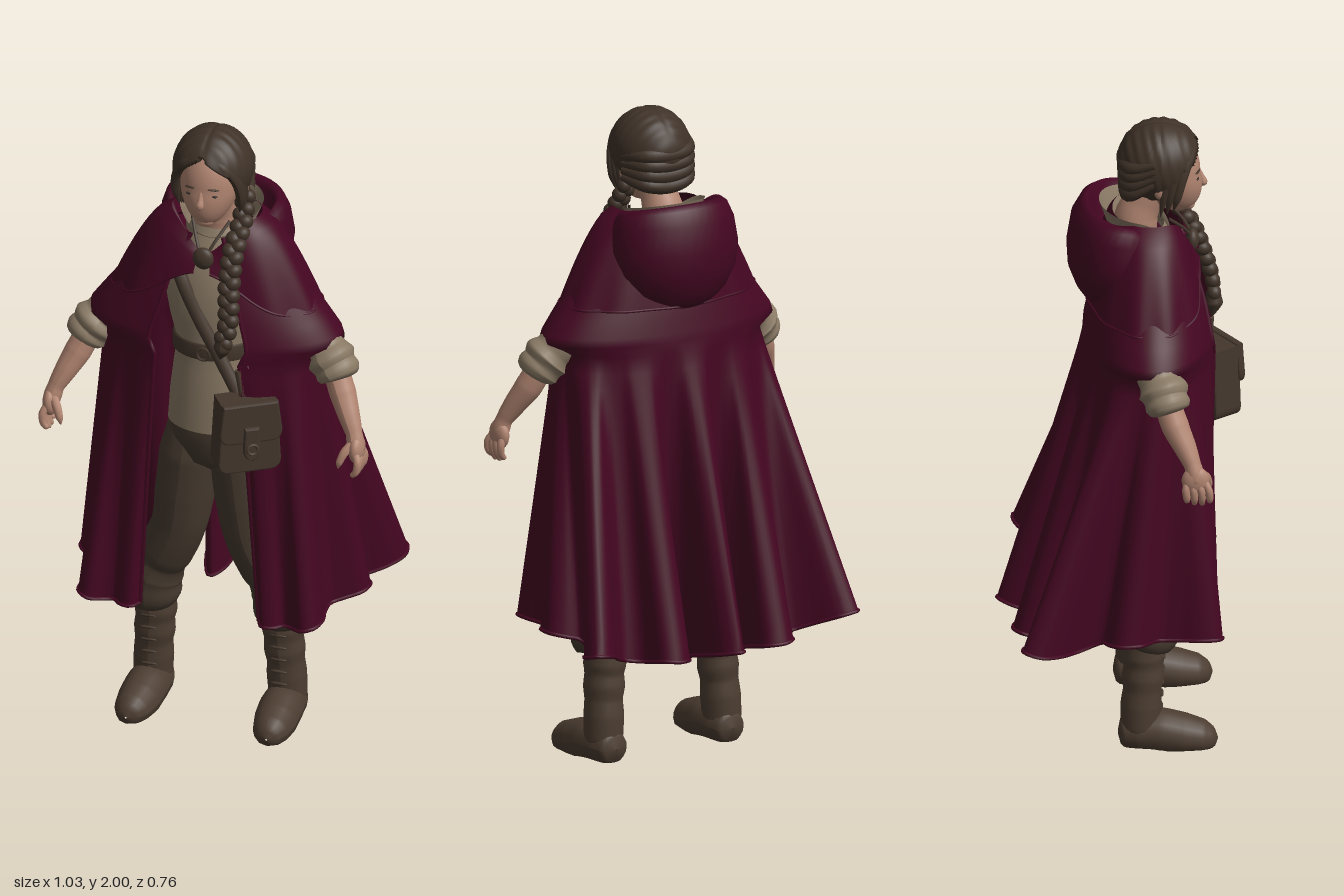
import * as THREE from 'three';

const V = (x, y, z) => new THREE.Vector3(x, y, z);
const { lerp, clamp, smoothstep } = THREE.MathUtils;
const mat = (name, color, side = THREE.FrontSide) => new THREE.MeshStandardMaterial({ name, color, side });

export function createModel() {
  const M = {
    cloak: mat('wine cloth', 0x440621, THREE.DoubleSide),
    skin: mat('skin', 0xb08470),
    hair: mat('dark brown hair', 0x3f3228),
    shirt: mat('linen', 0x8a7a65, THREE.DoubleSide),
    trousers: mat('trouser cloth', 0x463a2f),
    boots: mat('boot leather', 0x4c3d31),
    leather: mat('bag leather', 0x43362c),
    lips: mat('lips', 0x93655a),
    dark: mat('dark eyes', 0x3a302b),
  };
  const model = new THREE.Group();
  const add = (name, geo, m, parent = model) => {
    const mesh = new THREE.Mesh(geo, m);
    mesh.name = name;
    parent.add(mesh);
    return mesh;
  };
  // Surface through rows of points, listed bottom to top
  const loft = (rows, closed) => {
    const n = rows[0].length, index = [];
    for (let i = 0; i < rows.length - 1; i++)
      for (let j = 0; j < (closed ? n : n - 1); j++) {
        const k = (j + 1) % n, a = i * n + j, b = i * n + k;
        index.push(a, b, b + n, a, b + n, a + n);
      }
    const g = new THREE.BufferGeometry().setFromPoints(rows.flat());
    g.setIndex(index);
    g.computeVertexNormals();
    return g;
  };
  // Stacked ellipses [y, rx, rz, cz, tilt, dip]; dip lowers the front
  const rings = (list, n = 40) => loft(list.map(([y, rx, rz, cz, tilt = 0, dip = 0]) =>
    Array.from({ length: n }, (_, j) => {
      const a = j / n * Math.PI * 2, z = rz * Math.cos(a);
      return V(rx * Math.sin(a), y + tilt * z - dip * Math.max(0, Math.cos(a)) ** 2, cz + z);
    })), true);
  // Round limb through [x, y, z, radius]; s mirrors it, floor flattens the underside
  const limb = (pts, s = 1, sides = 14, floor = -Infinity) => {
    const curve = new THREE.CatmullRomCurve3(pts.map(p => V(p[0] * s, p[1], p[2])));
    const seg = pts.length * 5, g = new THREE.TubeGeometry(curve, seg, 1, sides), pos = g.attributes.position, v = V();
    for (let i = 0; i <= seg; i++) {
      const c = curve.getPointAt(i / seg), t = curve.getUtoTmapping(i / seg) * (pts.length - 1);
      const k = Math.min(Math.floor(t), pts.length - 2), r = lerp(pts[k][3], pts[k + 1][3], t - k);
      for (let j = 0; j <= sides; j++) {
        const q = i * (sides + 1) + j;
        v.fromBufferAttribute(pos, q).sub(c).multiplyScalar(r).add(c);
        pos.setXYZ(q, v.x, Math.max(v.y, floor), v.z);
      }
    }
    g.computeVertexNormals();
    return g;
  };
  const ball = (name, x, y, z, rx, ry, rz, m) => {
    const b = add(name, new THREE.SphereGeometry(1, 20, 14), m);
    b.position.set(x, y, z);
    b.scale.set(rx, ry, rz);
    return b;
  };

  // Cloak: shoulder ellipses flowing into a deeply folded hem
  const half = [[.19, .25], [.21, .285], [.245, .28], [.27, .255], [.3, .265], [.34, .295], [.375, .28], [.385, .23],
    [.37, .16], [.37, .1], [.41, .07], [.45, .04], [.455, -.02], [.42, -.055], [.38, -.07], [.39, -.14], [.45, -.2],
    [.485, -.26], [.47, -.31], [.42, -.305], [.35, -.23], [.3, -.195], [.25, -.22], [.235, -.31], [.19, -.335],
    [.14, -.31], [.13, -.2], [.09, -.11], [.055, -.16], [.04, -.33], [0, -.376]];
  const hemCurve = new THREE.CatmullRomCurve3([...half, ...half.slice(0, -1).reverse().map(([x, z]) => [-x, z])].map(([x, z]) => {
    const ax = Math.abs(x);
    const back = .33 + .24 * Math.max(-z - .08, 0) + .06 * clamp((ax - .2) / .25, 0, 1);
    const front = .41 + .04 * clamp((ax - .3) / .15, 0, 1);
    return V(x, lerp(back, front, smoothstep(z, -.2, -.06) * smoothstep(ax, .1, .17)), z);
  }));
  const N = 240, a0 = .4;
  const hem = hemCurve.getPoints(N);
  const ringRow = ([y, rx, rz]) => hem.map((_, j) => {
    const a = a0 + j / N * (2 * Math.PI - 2 * a0);
    return V(rx * Math.sin(a), y, .086 + rz * Math.cos(a));
  });
  const upper = [[1.29, .35, .204], [1.325, .402, .201], [1.35, .395, .196], [1.4, .358, .186], [1.46, .312, .172],
    [1.56, .245, .14], [1.66, .13, .1]].map(ringRow);
  const cloakRows = [];
  for (let i = 0; i < 18; i++) cloakRows.push(hem.map((p, j) => p.clone().lerp(upper[0][j], i / 18)));
  cloakRows.push(...upper);
  add('cloak', loft(cloakRows, false), M.cloak);
  add('cloakHem', new THREE.TubeGeometry(hemCurve, 240, .006, 6), M.cloak);
  for (const j of [0, N])
    add('cloakFrontEdge', new THREE.TubeGeometry(new THREE.CatmullRomCurve3(cloakRows.map(r => r[j])), 50, .007, 6), M.cloak);

  // Shoulder cape
  const capeRows = [];
  for (let i = 0; i <= 12; i++) {
    const v = 1 - i / 12;
    capeRows.push(Array.from({ length: 97 }, (_, j) => {
      const a = .08 + j / 96 * (2 * Math.PI - .16), near = Math.min(a, 2 * Math.PI - a);
      const f = Math.exp(-((near / .55) ** 2)), w = Math.pow(v, .62), fold = 1 + .015 * v * Math.sin(11 * near);
      const y = lerp(1.71 - .1 * f, 1.43 + .13 * f, v);
      return V(lerp(.14, .328, w) * fold * Math.sin(a), y, .083 + lerp(.11, .188 * (1 - .22 * f), w) * fold * Math.cos(a));
    }));
  }
  add('shoulderCape', loft(capeRows, false), M.cloak);
  add('shoulderCapeHem', new THREE.TubeGeometry(new THREE.CatmullRomCurve3(capeRows[0]), 120, .004, 6), M.cloak);

  // Lowered hood with a rolled rim and an open inside
  add('hood', rings([[1.415, .08, .05, -.04], [1.43, .12, .09, -.025], [1.47, .168, .122, -.018], [1.53, .2, .148, -.014],
    [1.6, .211, .156, -.01, 0, .02], [1.67, .2, .147, -.005, -.12, .06], [1.71, .185, .13, .003, -.18, .09],
    [1.724, .168, .115, .01, -.2, .1], [1.705, .155, .104, .015, -.2, .1], [1.64, .14, .095, .02, -.1, .05], [1.6, .1, .08, .03]]), M.cloak);
  ball('cloakClasp', 0, 1.6, .215, .033, .036, .02, M.leather);
  for (const s of [-1, 1])
    add('claspCord', limb([[.005, 1.6, .22, .005], [.03, 1.65, .19, .005], [.06, 1.7, .14, .005]], s, 6), M.leather);

  // Shirt, belt and wide collar
  add('shirt', rings([[1.0, .145, .11, .105], [1.1, .138, .108, .105], [1.2, .126, .102, .105], [1.27, .115, .095, .105],
    [1.36, .14, .108, .1], [1.46, .16, .115, .095], [1.55, .14, .1, .085], [1.62, .1, .09, .06], [1.66, .08, .08, .05]]), M.shirt);
  add('shirtCollar', rings([[1.6, .1, .085, .06], [1.67, .11, .095, .045, -.2, .02], [1.72, .13, .108, .04, -.2, .06]]), M.shirt);
  add('belt', rings([[1.245, .122, .1, .105], [1.25, .13, .108, .105], [1.295, .13, .108, .105], [1.3, .122, .1, .105]]), M.leather);
  add('bagStrap', limb([[-.13, 1.6, .13, .021], [-.08, 1.52, .196, .021], [-.02, 1.4, .21, .021], [.05, 1.28, .218, .021],
    [.12, 1.17, .24, .021]], 1, 8), M.leather);
  add('beltBuckle', new THREE.TorusGeometry(.02, .005, 6, 12), M.leather).position.set(0, 1.272, .216);

  // Legs, boots, arms and hands
  add('trouserSeat', rings([[.84, .02, .04, .1], [.88, .11, .09, .1], [.95, .142, .108, .1], [1.0, .14, .106, .105], [1.03, .13, .1, .105]]), M.trousers);
  for (const s of [-1, 1]) {
    const side = s > 0 ? 'left' : 'right';
    add(side + 'TrouserLeg', limb([[.07, 1.0, .1, .07], [.08, .88, .1, .094], [.096, .74, .1, .092], [.116, .62, .1, .084],
      [.16, .52, .09, .084], [.175, .49, .085, .078], [.198, .44, .08, .09], [.205, .41, .08, .087], [.207, .37, .078, .09],
      [.207, .34, .072, .075], [.207, .33, .07, .03]], s, 20), M.trousers);
    add(side + 'BootShaft', limb([[.203, .37, .06, .06], [.203, .3, .06, .066], [.205, .27, .06, .06], [.207, .23, .058, .064],
      [.21, .19, .056, .058], [.212, .14, .052, .062], [.215, .07, .05, .06], [.215, .03, .05, .05]], s, 18), M.boots);
    add(side + 'BootFoot', limb([[.212, .045, -.018, .005], [.212, .045, -.008, .045], [.213, .05, .04, .062], [.215, .05, .11, .068],
      [.218, .036, .18, .066], [.222, .028, .24, .054], [.224, .026, .274, .03], [.224, .026, .284, .003]], s, 18, .002), M.boots);
    for (let i = 0; i < 5; i++)
      ball('bootLace', s * .207, .13 + i * .042, .113 + i * .002, .026, .005, .006, M.leather);

    // Rolled sleeve
    add(side + 'Sleeve', limb([[.27, 1.38, .085, .045], [.315, 1.335, .095, .056], [.337, 1.31, .1, .068],
      [.358, 1.29, .107, .064], [.374, 1.272, .115, .078], [.388, 1.253, .121, .066], [.4, 1.238, .127, .07],
      [.41, 1.222, .132, .06], [.413, 1.216, .134, .03]], s, 18), M.shirt);
    add(side + 'Forearm', limb([[.385, 1.26, .12, .04], [.422, 1.18, .148, .042], [.453, 1.12, .178, .034],
      [.475, 1.075, .198, .026], [.482, 1.05, .205, .028], [.487, 1.025, .208, .026], [.487, 1.0, .21, .004]], s), M.skin);
    ball(side + 'Palm', s * .488, 1.028, .207, .024, .046, .042, M.skin);
    for (let i = 0; i < 4; i++) {
      const z = .178 + i * .023, tip = .945 + Math.abs(i - 1.6) * .008;
      add(side + 'Finger', limb([[.489, 1.03, .184 + i * .016, .011], [.502, 1.0, z, .012], [.498, .97, z + .003, .011],
        [.486, tip, z + .003, .008], [.483, tip - .004, z + .003, .001]], s, 8), M.skin);
    }
    add(side + 'Thumb', limb([[.478, 1.05, .218, .015], [.458, 1.025, .24, .014], [.446, .995, .25, .011], [.442, .975, .251, .002]], s, 8), M.skin);
  }

  // Head with tapered jaw
  const headGeo = new THREE.SphereGeometry(1, 40, 30), hp = headGeo.attributes.position;
  for (let i = 0; i < hp.count; i++) {
    const y = hp.getY(i), low = clamp(-y, 0, 1);
    hp.setXYZ(i, hp.getX(i) * .094 * (1 - .2 * low), 1.835 + y * .133, .137 + hp.getZ(i) * .102 + low * .034);
  }
  headGeo.computeVertexNormals();
  add('head', headGeo, M.skin);
  add('neck', limb([[0, 1.58, .045, .066], [0, 1.68, .045, .066], [0, 1.73, .065, .058], [0, 1.79, .1, .055]], 1, 18), M.skin);
  add('nose', limb([[0, 1.84, .231, .006], [0, 1.81, .242, .01], [0, 1.792, .248, .013], [0, 1.782, .238, .004]], 1, 10), M.skin);
  ball('chin', 0, 1.726, .204, .03, .02, .02, M.skin);
  ball('mouth', 0, 1.757, .23, .019, .005, .006, M.lips);
  for (const s of [-1, 1]) {
    ball('eye', s * .037, 1.824, .229, .014, .004, .005, M.dark);
    const brow = ball('eyebrow', s * .038, 1.846, .23, .018, .003, .005, M.hair);
    brow.rotation.set(0, s * .35, -s * .1);
    ball('ear', s * .096, 1.81, .115, .014, .028, .02, M.skin);
  }

  // Hair: parted cap cut away around the face
  const hairGeo = new THREE.SphereGeometry(1, 72, 56), p = hairGeo.attributes.position;
  for (let i = 0; i < p.count; i++) {
    let x = p.getX(i), y = p.getY(i), z = p.getZ(i);
    const wave = 1 + .012 * Math.sin(z * 26 + y * 6) * Math.min(1, Math.abs(x) * 3);
    const part = y > 0 ? 1 - .03 * Math.exp(-((x / .06) ** 2)) : 1;
    x *= .122 * wave; y = 1.872 + y * .128 * wave * part; z = .118 + z * .13 * wave;
    if (z > .12 && Math.abs(x) < .1 && y < 1.94 - Math.abs(x) * .7) z = Math.min(z, .14);
    p.setXYZ(i, x, y, z);
  }
  hairGeo.computeVertexNormals();
  add('hair', hairGeo, M.hair);
  for (const s of [-1, 1])
    for (let k = 0; k < 3; k++)
      add('frontLock', limb([[.004 + k * .01, 1.945 + k * .006, .212 - k * .006, .006], [.06 + k * .006, 1.915, .206 - k * .012, .016],
        [.096, 1.855, .182 - k * .02, .016], [.103 - k * .002, 1.79, .165 - k * .02, .014], [.096, 1.745 - k * .01, .155 - k * .02, .002]], s, 8), M.hair);
  for (let k = 0; k < 4; k++)
    add('backBraidRoll', limb([[-.115, 1.84 + k * .022, .1, .01], [-.075, 1.79 + k * .03, .025, .022], [0, 1.775 + k * .033, .014 - k * .002, .023],
      [.075, 1.785 + k * .03, .025, .022], [.112, 1.8 + k * .022, .1, .012]], 1, 10), M.hair);

  // Long braid over the left shoulder
  const braid = new THREE.CatmullRomCurve3([V(.095, 1.79, .09), V(.1, 1.71, .14), V(.092, 1.62, .21), V(.094, 1.52, .25), V(.1, 1.42, .278), V(.085, 1.36, .285)]);
  for (let i = 0; i < 26; i++) {
    const c = braid.getPointAt(i / 25), s = i % 2 ? 1 : -1, r = .021 + .006 * Math.sin(i / 25 * Math.PI);
    ball('braidStrand', c.x + s * .01, c.y, c.z, r, .024, r, M.hair).rotation.z = s * .6;
  }
  add('braidTail', limb([[.088, 1.38, .28, .02], [.084, 1.34, .283, .028], [.075, 1.3, .278, .002]], 1, 10), M.hair);

  // Shoulder bag with flap, buckle and carried sticks
  const bag = new THREE.Group();
  bag.name = 'shoulderBag';
  bag.position.set(.155, 1.065, .272);
  bag.rotation.y = .6;
  model.add(bag);
  const panel = (w, h, d) => {
    const sh = new THREE.Shape(), b = .03;
    sh.moveTo(-w * .44, h / 2).lineTo(w * .44, h / 2).lineTo(w / 2, -h / 2 + b);
    sh.quadraticCurveTo(w / 2, -h / 2, w / 2 - b, -h / 2).lineTo(-w / 2 + b, -h / 2);
    sh.quadraticCurveTo(-w / 2, -h / 2, -w / 2, -h / 2 + b);
    return new THREE.ExtrudeGeometry(sh, { depth: d, bevelSize: .006, bevelThickness: .006, bevelSegments: 2 }).translate(0, 0, -d / 2);
  };
  add('bagBody', panel(.185, .22, .085), M.leather, bag);
  add('bagFlap', panel(.185, .12, .012), M.leather, bag).position.set(0, .055, .052);
  add('bagTab', panel(.04, .1, .012), M.leather, bag).position.set(0, -.01, .066);
  add('bagBuckle', new THREE.TorusGeometry(.016, .005, 6, 12), M.boots, bag).position.set(0, -.025, .078);
  for (let i = 0; i < 5; i++) {
    const stick = add('carriedStick', new THREE.CylinderGeometry(.01, .008, .16, 7), i % 2 ? M.shirt : M.boots, bag);
    stick.position.set(-.01 + i * .018, .125 + (i % 3) * .015, -.01);
    stick.rotation.z = .15 - i * .15;
  }
  return model;
}
